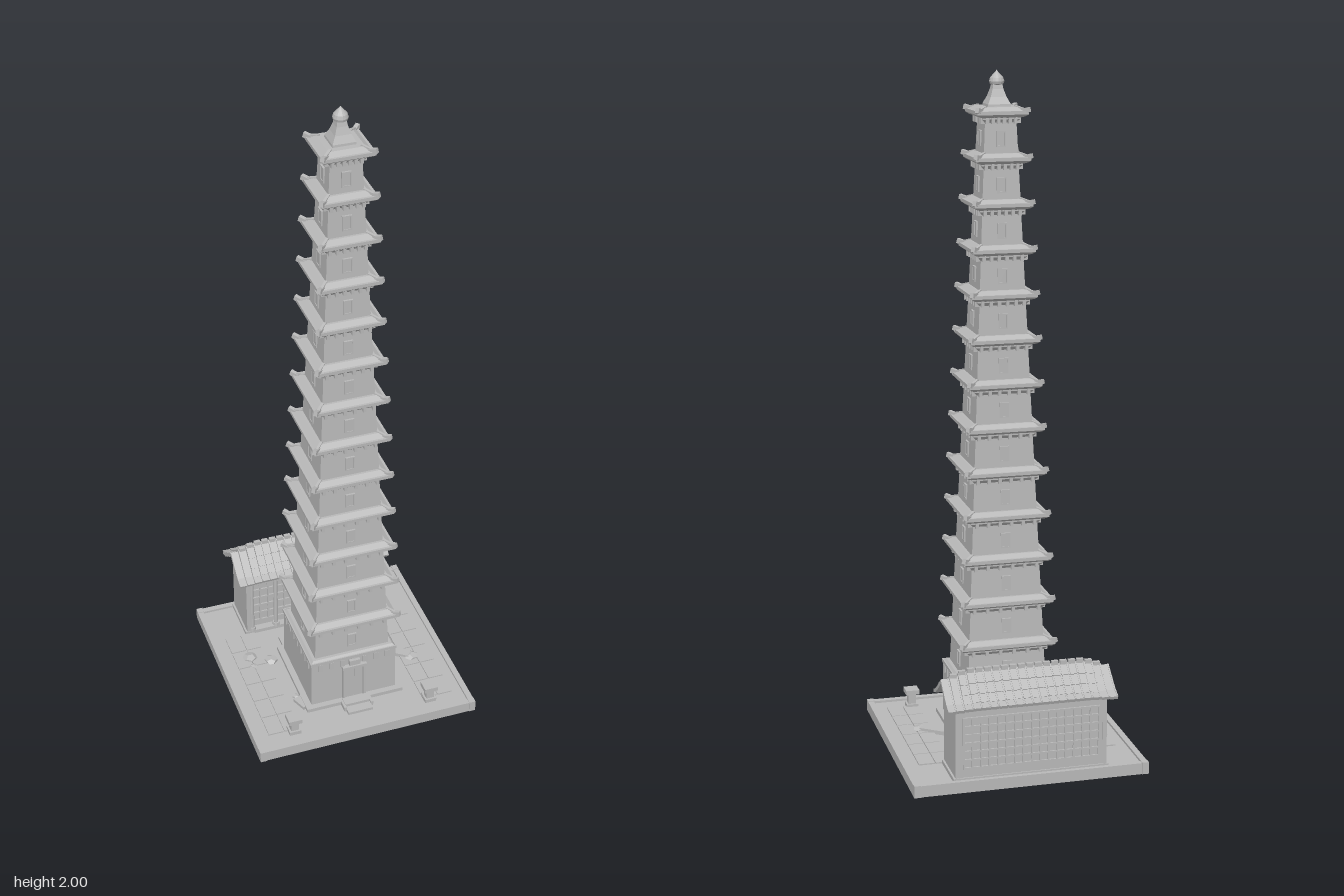
import * as THREE from 'three';

export function createModel() {
  const stone = new THREE.MeshStandardMaterial({ color: 0xb8b8b8, flatShading: true });
  stone.name = 'grey stone';
  const model = new THREE.Group();
  model.name = 'pagodaCourtyard';

  const group = (name, parent = model) => {
    const g = new THREE.Group();
    g.name = name;
    parent.add(g);
    return g;
  };
  const add = (parent, name, geo, x = 0, y = 0, z = 0) => {
    const m = new THREE.Mesh(geo, stone);
    m.name = name;
    m.position.set(x, y, z);
    parent.add(m);
    return m;
  };
  // Box given by centre x, bottom y, centre z
  const box = (parent, name, w, h, d, x, y, z) =>
    add(parent, name, new THREE.BoxGeometry(w, h, d), x, y + h / 2, z);
  // Square solid of revolution: pairs of [half width, y]
  const squareLathe = (parent, name, pts) =>
    add(parent, name, new THREE.LatheGeometry(
      pts.map(([r, y]) => new THREE.Vector2(r * Math.SQRT2, y)), 4, Math.PI / 4));
  // Repeat something on the four sides of the tower
  const fourSides = (parent, name, build) => {
    for (let i = 0; i < 4; i++) {
      const side = group(name, parent);
      side.rotation.y = i * Math.PI / 2;
      build(side, i);
    }
  };

  // Courtyard base with a low rim and corner caps
  const court = group('courtyard');
  box(court, 'baseSlab', 0.69, 0.027, 0.69, 0, 0, 0);
  for (const s of [-1, 1]) {
    box(court, 'rimSide', 0.018, 0.034, 0.696, s * 0.339, 0, 0);
    box(court, 'rimEnd', 0.696, 0.034, 0.018, 0, 0, s * 0.339);
    for (const t of [-1, 1]) box(court, 'rimCorner', 0.02, 0.036, 0.02, s * 0.338, 0, t * 0.34);
    // Paving stones along both sides
    for (let c = 0; c < 2; c++)
      for (let r = 0; r < 6; r++)
        box(court, 'pavingStone', 0.047, 0.004, 0.074, s * (0.225 + c * 0.05), 0.027, -0.149 + r * 0.0775);
    // Stone pedestals at the front
    const ped = group('pedestal', court);
    box(ped, 'pedestalFoot', 0.036, 0.012, 0.036, s * 0.22, 0.027, 0.28);
    box(ped, 'pedestalPost', 0.024, 0.035, 0.024, s * 0.22, 0.037, 0.28);
    box(ped, 'pedestalTop', 0.042, 0.014, 0.042, s * 0.22, 0.071, 0.28);
  }
  // Scattered rocks and fallen slabs
  [[-0.25, -0.075, 0.024], [-0.19, -0.043, 0.022], [-0.068, -0.143, 0.02], [0.236, 0.083, 0.023],
    [-0.25, -0.033, 0.012], [0.16, -0.052, 0.01], [-0.168, 0.14, 0.011], [0.185, -0.155, 0.01]]
    .forEach(([x, z, r], i) => {
      const rock = add(court, 'rock', new THREE.DodecahedronGeometry(r), x, 0.03, z);
      rock.scale.y = 0.5;
      rock.rotation.y = i * 1.3;
    });
  box(court, 'fallenSlab', 0.12, 0.012, 0.03, 0.185, 0.027, 0.043).rotation.y = -0.64;
  box(court, 'fallenSlab', 0.05, 0.01, 0.03, -0.158, 0.027, 0.175).rotation.y = -1.2;

  // Tower
  const tower = group('tower');
  tower.position.z = 0.065;
  box(tower, 'rearTerrace', 0.272, 0.01, 0.1, 0, 0.027, -0.148);
  box(tower, 'plinth', 0.312, 0.012, 0.31, 0, 0.027, 0);
  squareLathe(tower, 'groundStorey', [[0.137, 0.03], [0.136, 0.2], [0.128, 0.208], [0, 0.208]]);
  box(tower, 'rearPorch', 0.2, 0.145, 0.03, 0, 0.027, -0.145);
  fourSides(tower, 'groundFrieze', side => {
    box(side, 'friezeBand', 0.278, 0.01, 0.004, 0, 0.194, 0.137);
    for (let i = 0; i < 7; i++) box(side, 'friezeDentil', 0.014, 0.024, 0.006, (i - 3) * 0.036, 0.17, 0.137);
  });

  // Entrance with steps
  const door = group('entrance', tower);
  for (const s of [-1, 1]) {
    box(door, 'doorPost', 0.008, 0.125, 0.012, s * 0.033, 0.038, 0.141);
    box(door, 'doorLeaf', 0.027, 0.112, 0.004, s * 0.0145, 0.04, 0.138);
    box(door, 'stepCheek', 0.008, 0.016, 0.035, s * 0.043, 0.027, 0.17);
  }
  box(door, 'doorLintel', 0.078, 0.01, 0.016, 0, 0.16, 0.142);
  box(door, 'doorSign', 0.034, 0.018, 0.01, 0, 0.174, 0.144);
  box(door, 'upperStep', 0.08, 0.018, 0.03, 0, 0.027, 0.162);
  box(door, 'lowerStep', 0.08, 0.009, 0.035, 0, 0.027, 0.188);

  // Thirteen tapering storeys, each with corbels, upturned eave and windows
  const pitch = 0.1297;
  for (let i = 0; i < 13; i++) {
    const storey = group('storey', tower);
    const top = 0.334 + i * pitch, e = 0.143 - i * 0.0057, w = e - 0.029;
    squareLathe(storey, 'storeyWall', [[w + 0.005, top - pitch], [w, top - 0.026]]);
    squareLathe(storey, 'eave', [[w, top - 0.036], [w + 0.009, top - 0.026], [w + 0.009, top - 0.022],
      [e - 0.008, top - 0.018], [e, top - 0.012], [e, top - 0.002], [e - 0.007, top - 0.002],
      [w + 0.006, top + 0.008], [w - 0.006, top + 0.008], [0, top + 0.008]]);
    fourSides(storey, 'storeySide', side => {
      for (let k = 0; k < 6; k++)
        box(side, 'corbel', 0.009, 0.018, 0.015, (k - 2.5) * w * 0.36, top - 0.038, w + 0.006);
      // Window frame around a thin pane
      const y = top - 0.104, z = w + 0.004;
      for (const s of [-1, 1]) box(side, 'windowJamb', 0.004, 0.045, 0.007, s * 0.012, y, z);
      for (const dy of [0, 0.041]) box(side, 'windowRail', 0.026, 0.004, 0.007, 0, y + dy, z);
      box(side, 'windowPane', 0.02, 0.038, 0.003, 0, y + 0.004, z);
      // Raised corner tip and hip rib
      const hip = group('hip', side);
      hip.rotation.y = Math.PI / 4;
      const d = e * Math.SQRT2;
      const tip = box(hip, 'cornerTip', 0.012, 0.014, 0.026, 0, top - 0.008, d - 0.01);
      tip.rotation.x = -0.25;
      const rib = box(hip, 'hipRib', 0.008, 0.007, 0.034, 0, top + 0.001, d - 0.028);
      rib.rotation.x = 0.25;
    });
  }

  // Spire with a bud finial
  squareLathe(tower, 'spire', [[0.034, 1.896], [0.033, 1.905], [0.023, 1.925], [0.016, 1.946], [0.012, 1.966], [0, 1.966]]);
  add(tower, 'finial', new THREE.LatheGeometry(
    [[0.011, 1.956], [0.02, 1.961], [0.022, 1.968], [0.019, 1.978], [0.01, 1.988], [0.004, 1.994], [0, 2]]
      .map(p => new THREE.Vector2(...p)), 16));

  // Rear hall
  const hall = group('hall');
  hall.position.z = -0.26;
  box(hall, 'hallFloor', 0.46, 0.012, 0.15, 0, 0.027, 0);
  box(hall, 'rearWall', 0.43, 0.21, 0.01, 0, 0.03, -0.066);
  box(hall, 'frontWall', 0.43, 0.205, 0.008, 0, 0.03, 0.048);
  box(hall, 'frontBeam', 0.44, 0.02, 0.012, 0, 0.222, 0.066);
  const gable = new THREE.Shape([[-0.073, 0.03], [0.073, 0.03], [0.073, 0.247], [0.04, 0.272], [0, 0.306],
    [-0.04, 0.272], [-0.073, 0.247]].map(p => new THREE.Vector2(...p)));
  for (const s of [-1, 1]) {
    const wall = add(hall, 'gableWall', new THREE.ExtrudeGeometry(gable, { depth: 0.012, bevelEnabled: false }),
      s * 0.218 - 0.006);
    wall.rotation.y = Math.PI / 2;
  }
  for (const x of [-0.205, -0.125, -0.045, 0.045, 0.125, 0.205]) {
    add(hall, 'column', new THREE.CylinderGeometry(0.007, 0.007, 0.195, 10), x, 0.132, 0.066);
    add(hall, 'columnBase', new THREE.CylinderGeometry(0.011, 0.012, 0.012, 10), x, 0.043, 0.066);
  }
  // Lattice screens on both long walls
  const lattice = (z, cols, rows, y0, y1) => {
    const g = group('lattice', hall);
    for (let i = 0; i <= cols; i++) box(g, 'latticeUpright', 0.005, y1 - y0, 0.006, -0.2 + 0.4 * i / cols, y0, z);
    for (let j = 0; j <= rows; j++) box(g, 'latticeRail', 0.405, 0.005, 0.006, 0, y0 + (y1 - y0) * j / rows, z);
  };
  lattice(-0.073, 16, 6, 0.065, 0.215);
  lattice(0.054, 15, 5, 0.06, 0.215);

  // Tiled roof in strips, its ridge dropping towards both ends
  const roof = group('hallRoof', hall);
  const slope = [[0, 0.328], [0.026, 0.303], [0.05, 0.28], [0.071, 0.261], [0.092, 0.25]];
  const strips = 20, pitchX = 0.5 / strips;
  for (let i = 0; i < strips; i++) {
    const x = -0.25 + (i + 0.5) * pitchX;
    const drop = 0.022 * THREE.MathUtils.smoothstep(Math.abs(x), 0.16, 0.25);
    for (const s of [-1, 1])
      for (let k = 0; k < 4; k++) {
        const [za, ya] = slope[k], [zb, yb] = slope[k + 1];
        const len = Math.hypot(zb - za, yb - ya);
        const y = (ya + yb) / 2 - drop * (1 - (za + zb) / 0.2);
        const tile = add(roof, 'roofTile', new THREE.BoxGeometry(pitchX - 0.002, 0.01, len + 0.005),
          x, y, s * (za + zb) / 2);
        tile.rotation.x = s * (Math.atan2(ya - yb, zb - za) - 0.08);
        const rib = add(roof, 'roofRib', new THREE.BoxGeometry(0.004, 0.013, len + 0.002),
          x - pitchX / 2 + 0.002, y, s * (za + zb) / 2);
        rib.rotation.x = tile.rotation.x;
      }
    if (Math.abs(x) < 0.235) box(roof, 'ridgeTile', 0.02, 0.014, 0.012, x, 0.326 - drop, 0);
  }
  return model;
}
